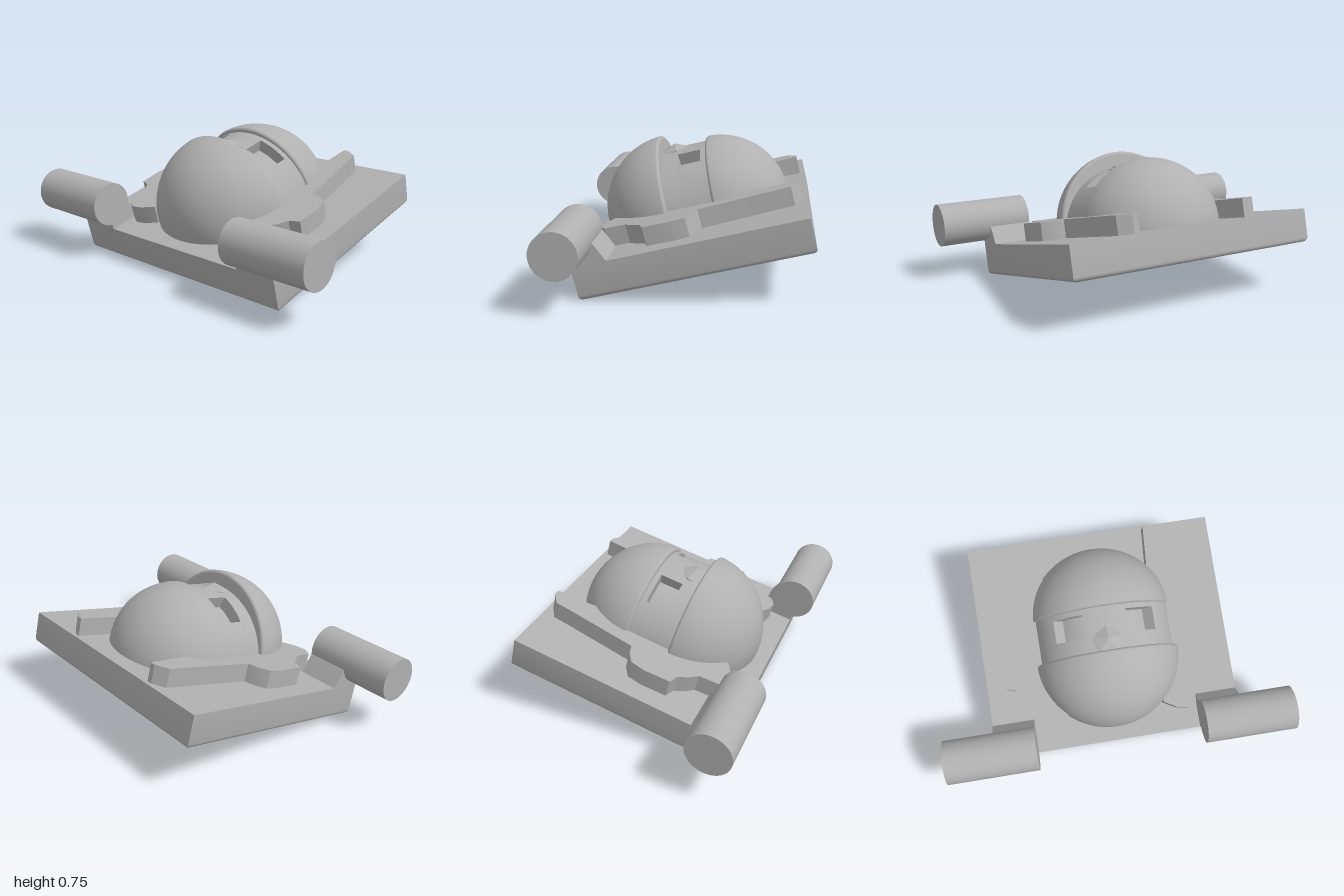
import * as THREE from 'three';
import { toCreasedNormals } from 'three/addons/utils/BufferGeometryUtils.js';
import { ConvexGeometry } from 'three/addons/geometries/ConvexGeometry.js';

const TILT = 0.245;       // slope of the plaque
const BURY = -0.1;        // round parts are flattened here, inside the slab
const FRONT_RIM = 0.08, BACK_RIM = -0.17;

// Rewrites every vertex by a rule
function reshape(geo, rule) {
  const p = geo.attributes.position, v = new THREE.Vector3();
  for (let i = 0; i < p.count; i++) {
    v.fromBufferAttribute(p, i);
    rule(v);
    p.setXYZ(i, v.x, v.y, v.z);
  }
  return geo;
}

const bury = (geo) => reshape(geo, (v) => { v.y = Math.max(v.y, BURY); });

// Extrudes a plan outline of [x, z] points upward
function extrudePlan(points, options) {
  const shape = new THREE.Shape(points.map(([x, z]) => new THREE.Vector2(x, -z)));
  return new THREE.ExtrudeGeometry(shape, { bevelEnabled: false, ...options }).rotateX(-Math.PI / 2);
}

// Half globe with a rounded rim, its pole pointing along z
function dome(radius, direction, widen, centreY, rimZ) {
  const r = 0.018, pts = [new THREE.Vector2(radius - 0.1, 0)];
  for (let i = 0; i <= 5; i++) {
    const a = (i / 5) * Math.PI / 2;
    pts.push(new THREE.Vector2(radius - r + r * Math.sin(a), r - r * Math.cos(a)));
  }
  for (let i = 1; i <= 28; i++) {
    const a = 0.05 + (i / 28) * (Math.PI / 2 - 0.05);
    pts.push(new THREE.Vector2(Math.max(0, radius * Math.cos(a)), radius * Math.sin(a)));
  }
  const geo = new THREE.LatheGeometry(pts, 80);
  geo.rotateX(direction * Math.PI / 2).scale(widen, 1, 1).translate(0, centreY, rimZ);
  return bury(geo);
}

// Curved block of the face band, between two angles from the crown
function bandBlock(a0, a1, z0, z1) {
  const geo = new THREE.BoxGeometry(a1 - a0, 0.08, z1 - z0, Math.ceil((a1 - a0) * 20), 1, 1);
  geo.translate((a0 + a1) / 2, 0.33, (z0 + z1) / 2);
  reshape(geo, (v) => {
    const a = v.x, r = v.y;
    v.x = 1.08 * r * Math.sin(a);
    v.y = r * Math.cos(a);
  });
  geo.computeVertexNormals();
  return geo;
}

export function createModel() {
  const grey = new THREE.MeshStandardMaterial({ color: 0xb0b0b0 });
  grey.name = 'plain grey';
  const model = new THREE.Group();
  model.name = 'plaque';
  const tilted = new THREE.Group();
  tilted.name = 'tiltedPlaque';
  tilted.rotation.x = TILT;
  tilted.position.y = 0.3125;
  model.add(tilted);

  const add = (name, geo) => {
    const mesh = new THREE.Mesh(geo, grey);
    mesh.name = name;
    tilted.add(mesh);
    return mesh;
  };

  // Slab: sharp upper edges, rounded lower edges
  const bevel = 0.025;
  const slab = extrudePlan(
    [[-0.725, -0.67], [0.725, -0.67], [0.725, 0.575], [-0.725, 0.575]],
    { depth: 0.16, bevelEnabled: true, bevelThickness: bevel, bevelSize: bevel, bevelOffset: -bevel, bevelSegments: 4 }
  ).translate(0, -0.16, 0);
  reshape(slab, (v) => { v.y = Math.min(v.y, 0); });
  add('slab', toCreasedNormals(slab, 0.6));

  // Head: chin dome, crown dome and the recessed face between them
  add('chinDome', dome(0.417, 1, 1, 0.04, FRONT_RIM));
  add('crownDome', dome(0.395, -1, 1.04, 0, BACK_RIM));
  const core = new THREE.CylinderGeometry(0.3, 0.3, 0.3, 64).rotateX(Math.PI / 2);
  add('eyeFloor', bury(core.scale(1.08, 1, 1).translate(0, 0, -0.045)));

  // Face band, leaving two eye openings
  const eyeIn = 0.31, eyeOut = 0.78, eyeBack = -0.14, eyeFront = -0.01, end = 1.75;
  add('brow', bandBlock(-end, end, BACK_RIM - 0.03, eyeBack));
  add('cheeks', bandBlock(-end, end, eyeFront, FRONT_RIM + 0.03));
  add('noseBridge', bandBlock(-eyeIn, eyeIn, eyeBack, eyeFront));
  add('leftTemple', bandBlock(eyeOut, end, eyeBack, eyeFront));
  add('rightTemple', bandBlock(-end, -eyeOut, eyeBack, eyeFront));

  // Nose: faceted wedge
  const nose = [[0, 0.36, -0.09], [0, 0.4, 0.012]];
  for (const s of [-1, 1]) {
    nose.push([0.08 * s, 0.37, 0.0], [0.08 * s, 0.36, 0.05], [0.05 * s, 0.37, 0.078],
      [0.08 * s, 0.3, 0.0], [0.05 * s, 0.3, 0.075]);
  }
  add('nose', new ConvexGeometry(nose.map((p) => new THREE.Vector3(...p))));

  // Ear guards, corner lugs and pivot cylinders on both sides
  const ear = [
    [0.325, -0.645], [0.355, -0.645], [0.425, -0.6], [0.435, -0.5], [0.46, -0.3], [0.485, -0.1],
    [0.54, -0.085], [0.6, -0.045], [0.615, 0.04], [0.61, 0.185], [0.55, 0.205], [0.52, 0.255],
    [0.475, 0.3], [0.465, 0.42], [0.41, 0.452], [0.35, 0.44], [0.28, 0.4], [0.25, 0.2], [0.25, -0.3], [0.31, -0.42],
  ];
  const lug = new THREE.Shape([[-0.575, -0.02], [-0.381, -0.02], [-0.381, 0], [-0.427, 0.104], [-0.545, 0.149], [-0.575, 0.04]]
    .map(([x, y]) => new THREE.Vector2(x, y)));
  for (const s of [1, -1]) {
    const side = s > 0 ? 'left' : 'right';
    add(side + 'EarGuard', toCreasedNormals(
      extrudePlan(ear.map(([x, z]) => [x * s, z]), { depth: 0.114 }).translate(0, -0.01, 0), 0.45));
    const lugGeo = new THREE.ExtrudeGeometry(lug, { depth: 0.245, bevelEnabled: false });
    add(side + 'CornerLug', lugGeo.rotateY(Math.PI / 2).translate(s > 0 ? 0.48 : -0.725, 0, 0));
    const pivot = new THREE.CylinderGeometry(0.124, 0.124, 0.52, 64).rotateZ(Math.PI / 2);
    add(side + 'Pivot', pivot.translate(0.74 * s, 0.149, 0.545));
  }
  return model;
}
